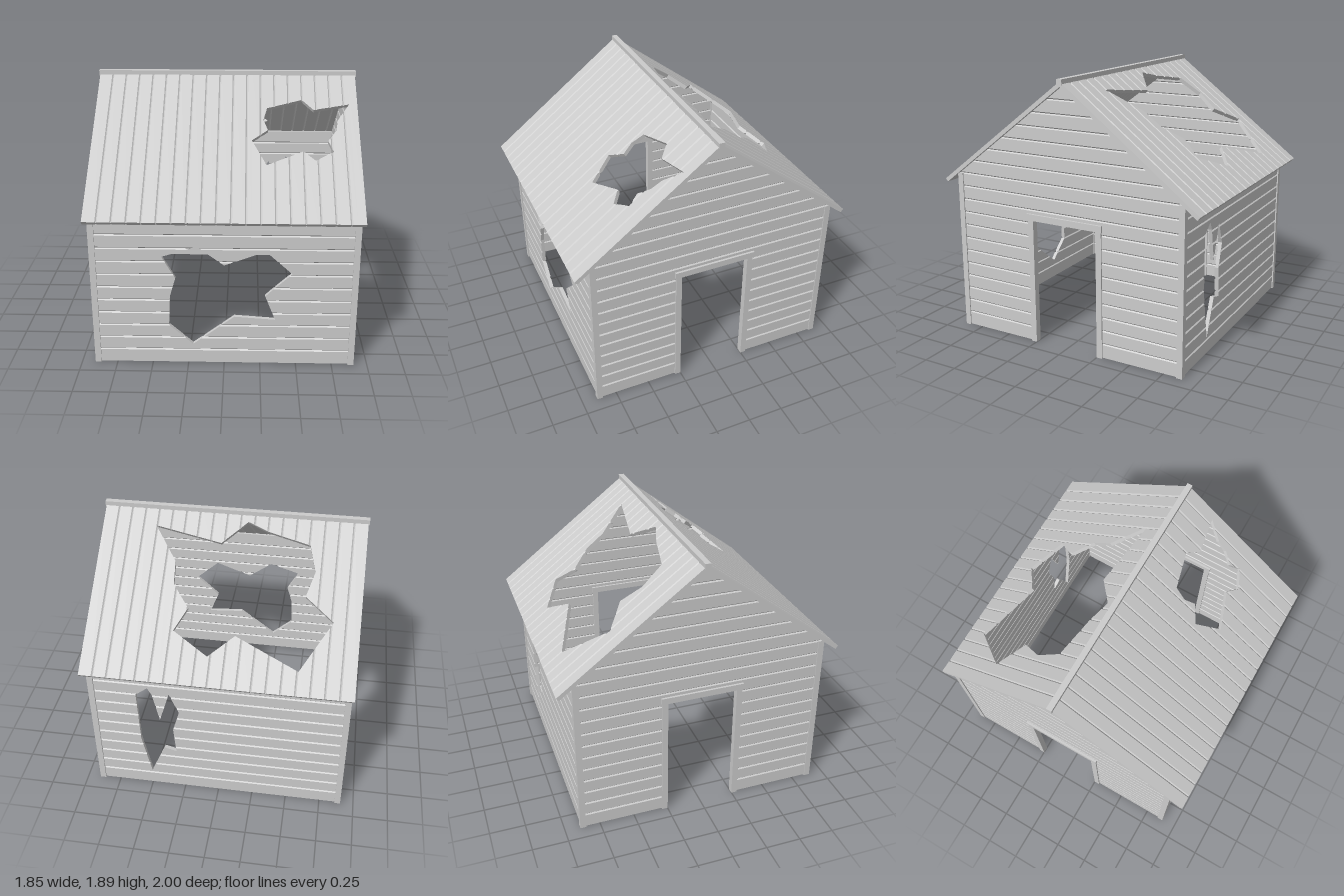
import * as THREE from 'three';

const material = new THREE.MeshStandardMaterial({ color: 0xcccccc, flatShading: true });
const PITCH = 0.0968;    // board width
const GROOVE = 0.008;    // half width of the groove between boards
const HALF = 0.014;      // half thickness of a boarded panel
const SLOPE = 0.76;      // roof rise per unit depth

// Half thickness at position t across the boards, measured from the first board's edge
function depthAt(t, start) {
  const k = Math.round((t - start) / PITCH);
  const d = Math.abs(t - start - k * PITCH);
  return HALF - 0.008 * Math.max(0, 1 - d / GROOVE);
}

// Boarded sheet: loops of [s, t] (outline and holes) cut into bands along t,
// each piece closed and placed in space by map(s, t, n)
function boardedPanel(name, loops, start, map) {
  const edges = loops.flatMap(l => l.map((p, i) => [p, l[(i + 1) % l.length]]));
  const ends = loops.flat().map(p => p[1]);
  const lo = Math.min(...ends), hi = Math.max(...ends);
  const cuts = [...ends];
  for (let t = start + PITCH; t < hi - GROOVE; t += PITCH) cuts.push(t - GROOVE, t, t + GROOVE);
  const levels = cuts.filter(t => t >= lo && t <= hi).sort((a, b) => a - b)
    .filter((t, i, a) => i === 0 || t - a[i - 1] > 1e-5);

  const pos = [];
  const addQuad = (q, centre) => {
    const normal = q[2].clone().sub(q[0]).cross(q[3].clone().sub(q[1]));
    if (normal.length() < 1e-10) return;
    const mid = q[0].clone().add(q[1]).add(q[2]).add(q[3]).multiplyScalar(0.25);
    const [a, b, c, d] = normal.dot(mid.sub(centre)) < 0 ? [...q].reverse() : q;
    for (const v of [a, b, c, a, c, d]) pos.push(v.x, v.y, v.z);
  };

  for (let i = 0; i + 1 < levels.length; i++) {
    const t0 = levels[i], t1 = levels[i + 1], tm = (t0 + t1) / 2;
    const at = ([p, q], t) => p[0] + (q[0] - p[0]) * (t - p[1]) / (q[1] - p[1]);
    const hits = edges.filter(([p, q]) => (p[1] < tm) !== (q[1] < tm))
      .sort((a, b) => at(a, tm) - at(b, tm));
    // the outer ends carry the full board thickness
    const n0 = t0 === lo ? HALF : depthAt(t0, start);
    const n1 = t1 === hi ? HALF : depthAt(t1, start);
    for (let h = 0; h + 1 < hits.length; h += 2) {
      const [l, r] = [hits[h], hits[h + 1]];
      const ring = sign => [[at(l, t0), t0, n0], [at(r, t0), t0, n0], [at(r, t1), t1, n1], [at(l, t1), t1, n1]]
        .map(([s, t, n]) => new THREE.Vector3(...map(s, t, n * sign)));
      const f = ring(1), b = ring(-1);
      const centre = new THREE.Vector3();
      [...f, ...b].forEach(v => centre.addScaledVector(v, 1 / 8));
      addQuad(f, centre);
      addQuad(b, centre);
      for (let k = 0; k < 4; k++) {
        const m = (k + 1) % 4;
        addQuad([f[k], f[m], b[m], b[k]], centre);
      }
    }
  }
  const geometry = new THREE.BufferGeometry();
  geometry.setAttribute('position', new THREE.Float32BufferAttribute(pos, 3));
  geometry.computeVertexNormals();
  const mesh = new THREE.Mesh(geometry, material);
  mesh.name = name;
  return mesh;
}

// Box given by its extents
function beam(name, [x0, x1], [y0, y1], [z0, z1]) {
  const mesh = new THREE.Mesh(new THREE.BoxGeometry(x1 - x0, y1 - y0, z1 - z0), material);
  mesh.position.set((x0 + x1) / 2, (y0 + y1) / 2, (z0 + z1) / 2);
  mesh.name = name;
  return mesh;
}

// Broken openings: walls as [x, y], roof as [x, distance from ridge]
const frontWallHole = [[-0.42, 0.82], [-0.18, 0.895], [0, 0.76], [0.28, 0.865], [0.46, 0.7], [0.32, 0.57],
  [0.28, 0.53], [0.35, 0.35], [0.07, 0.37], [-0.215, 0.15], [-0.38, 0.3], [-0.37, 0.52], [-0.33, 0.66]];
const backWallHole = [[0.57, 0.88], [0.485, 0.95], [0.455, 0.89], [0.41, 0.66], [0.335, 0.91], [0.27, 0.745],
  [0.32, 0.573], [0.305, 0.36], [0.39, 0.385], [0.495, 0.125], [0.525, 0.27], [0.56, 0.46]];
const frontRoofHole = [[0.18, 0.47], [0.28, 0.63], [0.53, 0.54], [0.61, 0.6], [0.735, 0.54], [0.7, 0.47], [0.76, 0.4],
  [0.775, 0.33], [0.86, 0.22], [0.61, 0.26], [0.53, 0.19], [0.285, 0.25], [0.26, 0.33], [0.29, 0.4]];
const backRoofHole = [[-0.74, 0.58], [-0.54, 0.86], [-0.1, 0.7], [0.07, 0.825], [0.32, 0.7], [0.24, 0.57], [0.36, 0.44],
  [0.37, 0.31], [0.54, 0.11], [0.07, 0.185], [-0.1, 0.05], [-0.25, 0.1], [-0.54, 0.16], [-0.59, 0.31], [-0.54, 0.45]];

export function createModel() {
  const house = new THREE.Group();
  house.name = 'ruinedHouse';

  // Long walls and roof slopes, front and back
  const wallOutline = [[-0.87, 0.005], [0.87, 0.005], [0.87, 1.175], [-0.87, 1.175]];
  const roofOutline = [[0, -0.918], [0.99, -0.918], [0.99, 0.918], [0, 0.918]];
  const len = Math.hypot(1, SLOPE);
  for (const [side, dir, wallHole, roofHole] of [
    ['front', 1, frontWallHole, frontRoofHole], ['back', -1, backWallHole, backRoofHole]]) {
    house.add(boardedPanel(side + 'Wall', [wallOutline, wallHole], 0.01,
      (x, y, n) => [x, y, dir * (0.87 + n)]));
    house.add(boardedPanel(side + 'Roof', [roofOutline, roofHole.map(([x, s]) => [s, x])], -0.92,
      (s, x, n) => [x, 1.857 - SLOPE * s + n / len, dir * (s + n * SLOPE / len)]));
  }

  // Gable walls with doorway and frame, left and right
  const eave = 1.838 - SLOPE * 0.86;
  const gable = [[0.86, 0.005], [0.86, eave], [0, 1.838], [-0.86, eave], [-0.86, 0.005],
    [-0.28, 0.005], [-0.28, 0.94], [0.28, 0.94], [0.28, 0.005]];
  for (const [side, dir] of [['left', 1], ['right', -1]]) {
    const span = (a, b) => (dir > 0 ? [a, b] : [-b, -a]);
    house.add(boardedPanel(side + 'GableWall', [gable], 0.01, (z, y, n) => [dir * (0.885 + n), y, z]));
    house.add(beam(side + 'DoorLintel', span(0.855, 0.915), [0.905, 0.95], [-0.297, 0.297]));
    for (const z of [-0.27, 0.27]) {
      house.add(beam(side + 'DoorJamb', span(0.862, 0.908), [0, 0.906], [z - 0.021, z + 0.021]));
    }
    for (const z of [-0.872, 0.872]) {
      house.add(beam(side + 'CornerPost', span(0.864, 0.906), [0, 1.17], [z - 0.021, z + 0.021]));
    }
  }

  house.add(beam('ridgeCap', [-0.925, 0.925], [1.85, 1.89], [-0.02, 0.02]));
  return house;
}
